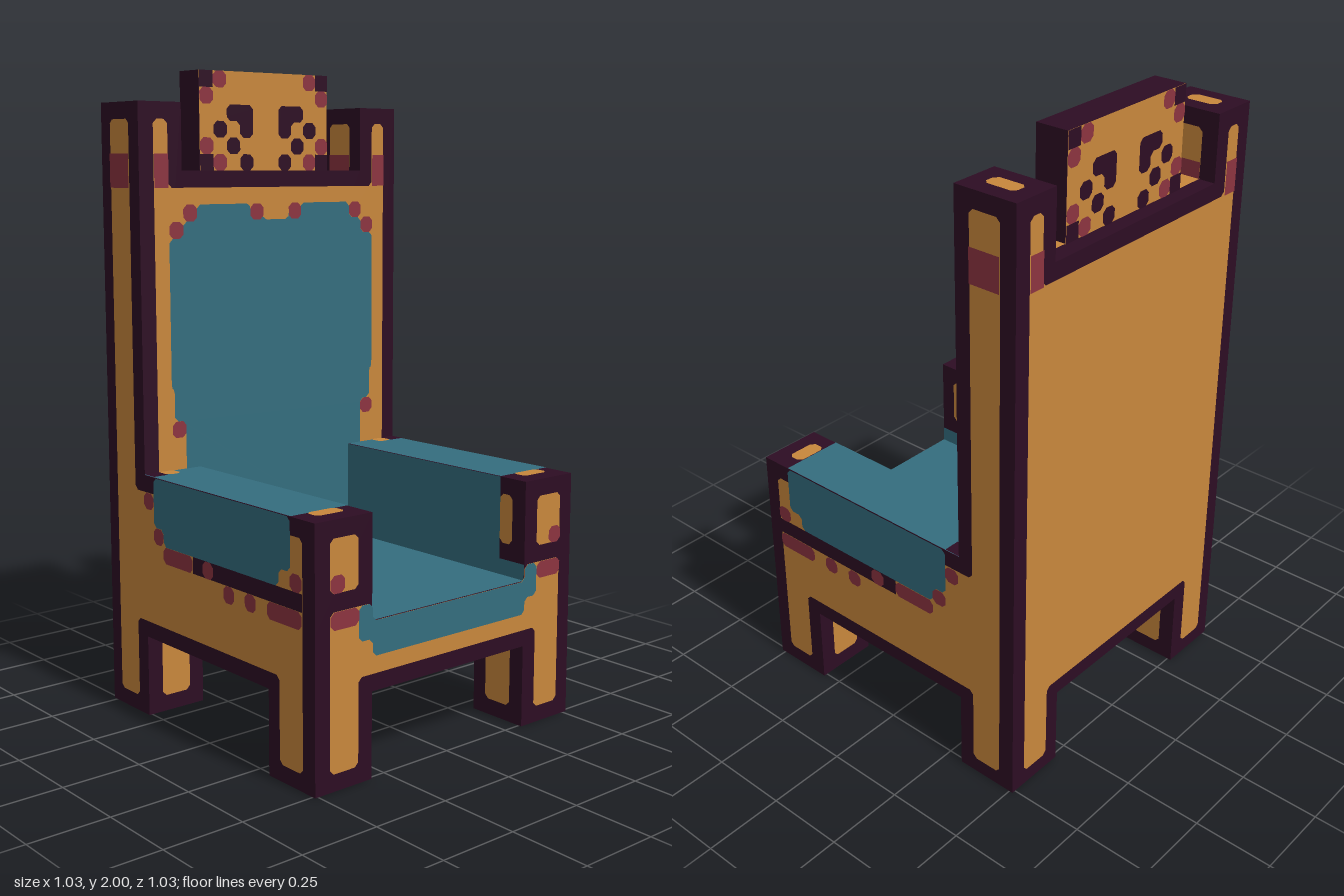
import * as THREE from 'three';
import { mergeGeometries } from 'three/addons/utils/BufferGeometryUtils.js';

const U = 2 / 39; // one grid unit; all sizes below are in units

const material = (name, color) => {
  const m = new THREE.MeshStandardMaterial({ color });
  m.name = name;
  return m;
};

// Each face direction: the drawing axes (right, up) and the signs that map natural coordinates onto them
const FACES = {
  '+z': { n: [0, 0, 1], r: [1, 0, 0], u: [0, 1, 0], s: [1, 1] },
  '-z': { n: [0, 0, -1], r: [-1, 0, 0], u: [0, 1, 0], s: [-1, 1] },
  '+x': { n: [1, 0, 0], r: [0, 0, -1], u: [0, 1, 0], s: [-1, 1] },
  '-x': { n: [-1, 0, 0], r: [0, 0, 1], u: [0, 1, 0], s: [1, 1] },
  '+y': { n: [0, 1, 0], r: [1, 0, 0], u: [0, 0, -1], s: [1, -1] },
  '-y': { n: [0, -1, 0], r: [1, 0, 0], u: [0, 0, 1], s: [1, 1] },
};

const rect = (a, b, c, d) => [[a, b], [c, b], [c, d], [a, d]];
const mirrorFirst = (p) => p.map(([a, b]) => [-a, b]);
const both = (list) => [...list, ...list.map(mirrorFirst)];
// Closes an outline that is symmetric about its first coordinate
const symmetric = (half) => [...half, ...mirrorFirst(half).reverse()];

// Polygon with every corner cut slightly
function cutShape(points, cut) {
  const v = points.map(([a, b]) => new THREE.Vector2(a, b));
  if (!cut) return new THREE.Shape(v);
  const out = [];
  v.forEach((p, i) => {
    for (const q of [v[(i + v.length - 1) % v.length], v[(i + 1) % v.length]]) {
      const len = p.distanceTo(q);
      out.push(p.clone().lerp(q, Math.min(cut, len / 3) / len));
    }
  });
  return new THREE.Shape(out);
}

export function createModel() {
  const model = new THREE.Group();
  model.name = 'armchair';
  const dark = material('dark plum', 0x2d0d23);
  const wood = material('golden wood', 0xc8873c);
  const teal = material('teal cloth', 0x346d7e);
  const red = material('dull red', 0x8c3440);

  // Solid block from min and max corners
  const block = (name, x0, x1, y0, y1, z0, z1) => {
    const mesh = new THREE.Mesh(new THREE.BoxGeometry((x1 - x0) * U, (y1 - y0) * U, (z1 - z0) * U), dark);
    mesh.position.set((x0 + x1) * U / 2, (y0 + y1) * U / 2, (z0 + z1) * U / 2);
    mesh.name = name;
    model.add(mesh);
  };

  // Painted shapes on one face, lifted a hair per layer
  const paint = (name, mat, face, at, layer, polys, cut = 0.25) => {
    const { n, r, u, s } = FACES[face];
    const basis = new THREE.Matrix4().makeBasis(
      new THREE.Vector3(...r), new THREE.Vector3(...u), new THREE.Vector3(...n));
    const shapes = polys.map((p) => new THREE.ShapeGeometry(
      cutShape(p.map(([a, b]) => [a * s[0] * U, b * s[1] * U]), cut * U)));
    const mesh = new THREE.Mesh(mergeGeometries(shapes).applyMatrix4(basis), mat);
    mesh.position.set(...n).multiplyScalar(Math.abs(at) * U * Math.sign(at * (n[0] + n[1] + n[2]) || 1) + layer * 0.0015);
    mesh.name = name;
    model.add(mesh);
  };

  // Frame
  block('seat', -6, 10, 5, 9, -10, 10);
  block('backrest', -10, -6, 5, 33, -7, 7);
  block('crest', -9, -7, 33, 39, -5, 5);
  for (const s of [-1, 1]) {
    const span = (a, b) => (s > 0 ? [a, b] : [-b, -a]);
    const side = s > 0 ? 'left' : 'right';
    block(side + 'BackPost', -10, -6, 5, 37, ...span(7, 10));
    block(side + 'Arm', -6, 10, 9, 15, ...span(6, 10));
    block(side + 'BackLeg', -10, -6, 0, 5, ...span(6, 10));
    block(side + 'FrontLeg', 6, 10, 0, 5, ...span(6, 10));
  }

  // Outer and inner sides
  for (const [out, inn, s] of [['+z', '-z', 1], ['-z', '+z', -1]]) {
    paint('sideWood', wood, out, 10 * s, 1, [[[-9, 1], [-7, 1], [-7, 6], [7, 6], [7, 1], [9, 1],
      [9, 14], [-7, 14], [-7, 36], [-9, 36]]]);
    paint('armRail', dark, out, 10 * s, 2, [rect(-1, 10, 9, 11)], 0);
    paint('armCloth', teal, out, 10 * s, 2, [[[-5, 12], [-4, 12], [-4, 11], [7, 11], [7, 12], [8, 12], [8, 15], [-5, 15]]]);
    paint('sideTrim', red, out, 10 * s, 3, [rect(-6, 13, -5, 14), rect(-5, 11, -4, 12), rect(-4, 10, -1, 11),
      rect(0, 10, 1, 11), rect(2, 9, 3, 10), rect(4, 9, 5, 10), rect(6, 9, 9, 10), rect(8, 11, 9, 12)]);
    paint('postBand', red, out, 10 * s, 3, [rect(-9, 32, -7, 34)], 0);
    paint('postInnerWood', wood, inn, 7 * s, 1, [rect(-9, 33, -7, 36)]);
    paint('postInnerBand', red, inn, 7 * s, 2, [rect(-9, 33, -7, 34)], 0);
    paint('armInnerCloth', teal, inn, 6 * s, 1, [rect(-6, 9, 8, 15), rect(8, 9, 10, 10)], 0);
    paint('armInnerWood', wood, inn, 6 * s, 1, [rect(8, 11, 9, 14)]);
    paint('legInnerWood', wood, inn, 6 * s, 1, both([rect(7, 1, 9, 5)]));
  }
  for (const [face, s] of [['-x', 1], ['+x', -1]])
    paint('legInnerWood', wood, face, 6 * s, 1, both([rect(7, 1, 9, 5)]));

  // Seat front and arm ends
  paint('seatFrontWood', wood, '+x', 10, 1, [symmetric([[7, 6], [7, 1], [9, 1], [9, 10], [6, 10], [6, 9]])
    .slice(0, 6).concat([[-6, 9], [-6, 10], [-9, 10], [-9, 1], [-7, 1], [-7, 6]])]);
  paint('seatFrontCloth', teal, '+x', 10, 2, [symmetric([[6, 7], [6, 8], [7, 8], [7, 10], [6, 10], [6, 9]])]);
  paint('armEndWood', wood, '+x', 10, 1, both([rect(7, 11, 9, 14)]));
  paint('frontTrim', red, '+x', 10, 3, both([rect(7, 9, 9, 10), rect(8, 11, 9, 12)]));

  // Backrest front with heart-topped cushion
  const postTops = [[9, 36], [8, 36], [8, 32]];
  paint('backrestWood', wood, '+x', -6, 1, [symmetric([[9, 12], ...postTops])]);
  paint('backrestCloth', teal, '+x', -6, 2, [symmetric([[7, 9], [7, 18], [7.8, 18], [7.8, 20], [8, 20], [8, 29],
    [7, 29], [7, 30], [6, 30], [6, 31], [2, 31], [2, 30.5], [1, 30.5], [1, 30]])]);
  paint('backrestTrim', red, '+x', -6, 3, both([rect(6, 30, 7, 31), rect(7, 29, 8, 30),
    rect(1, 30, 2, 31), rect(7, 17, 8, 18)]));

  // Rear of the backrest
  paint('rearWood', wood, '-x', -10, 1, [symmetric([[7, 6], [7, 1], [9, 1], ...postTops])]);
  for (const [face, at] of [['+x', -6], ['-x', -10]])
    paint('postBand', red, face, at, 3, both([rect(8, 32, 9, 34)]), 0);

  // Crest face, front and rear
  for (const [face, at] of [['+x', -7], ['-x', -9]]) {
    paint('crestWood', wood, face, at, 1, [rect(-5, 33, 5, 39)], 0);
    paint('crestCorners', dark, face, at, 2, both([rect(4, 38, 5, 39), rect(4, 33, 5, 34)]), 0);
    paint('crestTrim', red, face, at, 2, both([rect(4, 37, 5, 38), rect(3, 38, 4, 39),
      rect(4, 34, 5, 35), rect(3, 33, 4, 34)]));
    paint('crestEyes', dark, face, at, 3, both([[[1, 35], [2, 35], [2, 36], [3, 36], [3, 37], [1, 37]],
      rect(3, 35, 4, 36), rect(2, 34, 3, 35), rect(1, 33, 2, 34)]));
  }

  // Tops
  paint('seatCloth', teal, '+y', 9, 1, [rect(-6, -6, 10, 6)], 0);
  const mirrorZ = (list) => [...list, ...list.map((p) => p.map(([x, z]) => [x, -z]))];
  paint('armTopCloth', teal, '+y', 15, 1, mirrorZ([rect(-6, 6, 8, 10)]), 0);
  paint('armTopCorner', dark, '+y', 15, 2, mirrorZ([rect(-6, 9, -5, 10)]), 0);
  paint('armTopWood', wood, '+y', 15, 2, mirrorZ([rect(-6, 8, -5, 9), rect(8, 7, 9, 9)]));
  paint('postTopWood', wood, '+y', 37, 1, mirrorZ([rect(-9, 8, -7, 9)]));
  paint('backrestTopWood', wood, '+y', 33, 1, mirrorZ([rect(-9, 5, -7, 7)]), 0);

  // Underside and feet
  paint('undersideWood', wood, '-y', 5, 1, [rect(-10, -10, 10, 10)], 0);
  paint('footWood', wood, '-y', 0, 1, mirrorZ(both([rect(7, 7, 9, 9)])));
  return model;
}
